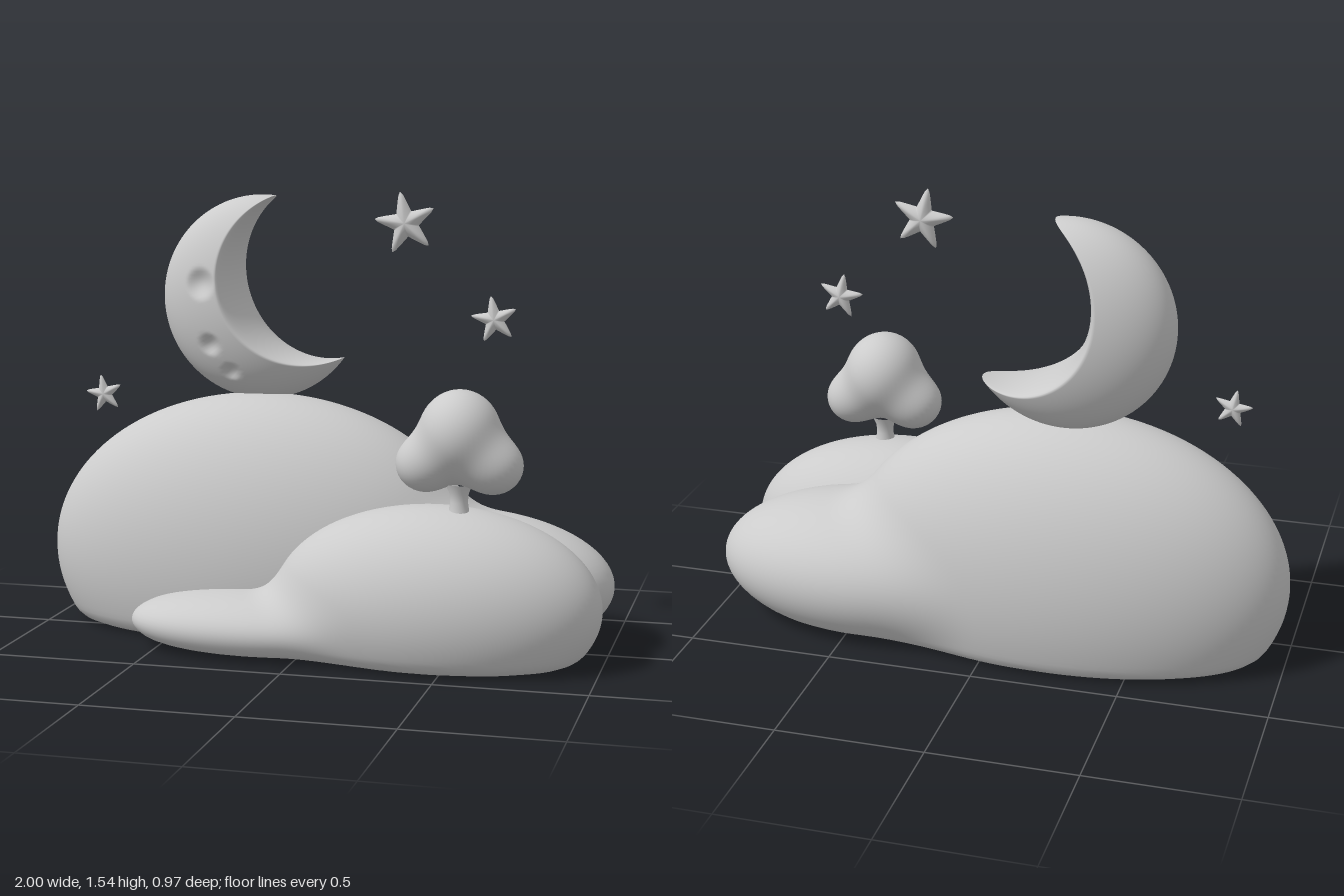
import * as THREE from 'three';
import { mergeVertices } from 'three/addons/utils/BufferGeometryUtils.js';

const material = new THREE.MeshStandardMaterial({ color: 0xcccccc });

// Weld seams and rebuild smooth normals
function smooth(geometry) {
  geometry.deleteAttribute('uv');
  geometry.deleteAttribute('normal');
  const welded = mergeVertices(geometry, 1e-5);
  welded.computeVertexNormals();
  return welded;
}

function addMesh(group, name, geometry) {
  const mesh = new THREE.Mesh(geometry, material);
  mesh.name = name;
  group.add(mesh);
  return mesh;
}

// Approximate signed distance to an ellipsoid
function ellipsoid([x, y, z], { c, r }) {
  const q = [(x - c[0]) / r[0], (y - c[1]) / r[1], (z - c[2]) / r[2]];
  const k0 = Math.hypot(...q);
  const k1 = Math.hypot(q[0] / r[0], q[1] / r[1], q[2] / r[2]);
  return k1 < 1e-6 ? -Math.min(...r) : (k0 * (k0 - 1)) / k1;
}

function smoothMin(a, b, k) {
  const h = Math.max(k - Math.abs(a - b), 0) / k;
  return Math.min(a, b) - h * h * k * 0.25;
}

// Ellipsoids melted together, found along rays from an inner point;
// an optional flat floor at y = 0 has a softened rim
function blob({ centre, stretch, lumps, blend, floor, segments, rings }) {
  const geometry = new THREE.SphereGeometry(1, segments, rings);
  const pos = geometry.attributes.position;
  const field = (p) => {
    let f = lumps.map((l) => ellipsoid(p, l)).reduce((a, b) => smoothMin(a, b, blend));
    if (floor) f = -smoothMin(-f, p[1], 0.05);
    return f;
  };
  for (let i = 0; i < pos.count; i++) {
    const d = [pos.getX(i) * stretch[0], pos.getY(i) * stretch[1], pos.getZ(i) * stretch[2]];
    const at = (t) => d.map((v, j) => centre[j] + v * t);
    let lo = 0, hi = 4;
    for (let n = 0; n < 32; n++) {
      const mid = (lo + hi) / 2;
      if (field(at(mid)) < 0) lo = mid; else hi = mid;
    }
    pos.setXYZ(i, ...at(lo));
  }
  return smooth(geometry);
}

// Crescent: a flattened ball with a round bite, lofted from horn to horn
function crescent() {
  const outer = { x: -0.247, y: 1.161, r: 0.356 };
  const inner = { x: -0.032, y: 1.255, r: 0.309 };
  const depth = 0.197, zMid = -0.178, steps = 150, loop = 100, rim = 0.12;
  const craters = [[-0.425, 1.215, 0.058, 0.026], [-0.395, 1.005, 0.042, 0.02], [-0.325, 0.912, 0.034, 0.016]];

  // Horn tips: where the two circles cross
  const dx = inner.x - outer.x, dy = inner.y - outer.y, d = Math.hypot(dx, dy);
  const a = (d * d + outer.r ** 2 - inner.r ** 2) / (2 * d);
  const axis = Math.atan2(dy, dx);
  const outerHalf = Math.acos(a / outer.r);
  const innerHalf = Math.acos((a - d) / inner.r);
  const onCircle = (c, half, s) => {
    const angle = axis + half + s * 2 * (Math.PI - half);
    return [c.x + c.r * Math.cos(angle), c.y + c.r * Math.sin(angle)];
  };

  const points = [], index = [];
  for (let i = 0; i <= steps; i++) {
    const s = (1 - Math.cos((i / steps) * Math.PI)) / 2;
    const from = onCircle(inner, innerHalf, s);
    const to = onCircle(outer, outerHalf, s);
    for (let j = 0; j < loop; j++) {
      const theta = (j / loop) * 2 * Math.PI;
      const u = (1 - Math.cos(theta)) / 2;
      const x = from[0] + (to[0] - from[0]) * u;
      const y = from[1] + (to[1] - from[1]) * u;
      const rr = ((x - outer.x) ** 2 + (y - outer.y) ** 2) / outer.r ** 2;
      let z = depth * Math.max(0, 1 - rr) ** 0.48;
      if (u < rim) z *= Math.sqrt(1 - (1 - u / rim) ** 2);
      if (theta > Math.PI) z = -z;
      else for (const [cx, cy, r, deep] of craters) {
        const q = ((x - cx) ** 2 + (y - cy) ** 2) / (r * r);
        if (q < 1) z -= deep * (1 - q) ** 1.5;
      }
      points.push(x, y, zMid + z);
      if (i < steps) {
        const p = i * loop + j, q = i * loop + ((j + 1) % loop);
        index.push(p, q, p + loop, q, q + loop, p + loop);
      }
    }
  }
  const geometry = new THREE.BufferGeometry();
  geometry.setAttribute('position', new THREE.Float32BufferAttribute(points, 3));
  geometry.setIndex(index);
  return smooth(geometry);
}

// Puffy five-pointed star with rounded tips, facing z
function starGeometry(radius, thickness) {
  const geometry = new THREE.SphereGeometry(1, 80, 20).rotateX(Math.PI / 2);
  const pos = geometry.attributes.position;
  const fifth = (2 * Math.PI) / 5, round = 0.06;
  for (let i = 0; i < pos.count; i++) {
    const x = pos.getX(i), y = pos.getY(i), z = pos.getZ(i);
    const turn = Math.atan2(y, x) - Math.PI / 2;
    const off = turn - Math.round(turn / fifth) * fifth;
    const edge = Math.sqrt(Math.sin(off) ** 2 + round * round) - round;
    const reach = radius / (Math.cos(off) + 3 * edge);
    pos.setXYZ(i, x * reach, y * reach, Math.sign(z) * thickness * Math.abs(z) ** 1.5);
  }
  return smooth(geometry);
}

export function createModel() {
  const model = new THREE.Group();
  model.name = 'nightLandscape';

  // Hills
  addMesh(model, 'backHill', blob({
    centre: [0, 0.15, -0.13], stretch: [1, 0.6, 0.4], blend: 0.1, floor: true, segments: 128, rings: 90,
    lumps: [
      { c: [-0.23, 0.27, -0.127], r: [0.77, 0.56, 0.357] },
      { c: [0.45, 0.2, -0.14], r: [0.55, 0.25, 0.33] },
    ],
  }));
  addMesh(model, 'frontHill', blob({
    centre: [0.1, 0.09, 0.2], stretch: [0.8, 0.4, 0.35], blend: 0.1, floor: true, segments: 128, rings: 90,
    lumps: [
      { c: [0.45, 0.19, 0.19], r: [0.55, 0.33, 0.293] },
      { c: [-0.15, 0.09, 0.215], r: [0.45, 0.12, 0.225] },
    ],
  }));

  // Moon
  addMesh(model, 'moon', crescent());

  // Tree
  const tree = new THREE.Group();
  tree.name = 'tree';
  tree.position.set(0.53, 0, 0.22);
  model.add(tree);
  const trunk = [[0.04, 0.48], [0.034, 0.51], [0.029, 0.54], [0.032, 0.57], [0.045, 0.6]];
  addMesh(tree, 'trunk', new THREE.LatheGeometry(trunk.map((p) => new THREE.Vector2(...p)), 24));
  addMesh(tree, 'crown', blob({
    centre: [0, 0.71, 0], stretch: [0.2, 0.17, 0.15], blend: 0.07, floor: false, segments: 64, rings: 40,
    lumps: [
      { c: [0, 0.765, 0], r: [0.135, 0.145, 0.15] },
      { c: [-0.11, 0.665, 0], r: [0.1, 0.095, 0.105] },
      { c: [0.11, 0.665, 0], r: [0.1, 0.095, 0.105] },
    ],
  }));

  // Stars: x, y, z, radius, half thickness, tilt
  const stars = [
    [0.29, 1.43, -0.042, 0.108, 0.026, 0.19],
    [0.603, 1.118, 0.004, 0.08, 0.02, 0.17],
    [-0.757, 0.832, 0.048, 0.067, 0.016, 0.19],
  ];
  stars.forEach(([x, y, z, radius, thickness, tilt], i) => {
    const star = addMesh(model, `star${i + 1}`, starGeometry(radius, thickness));
    star.position.set(x, y, z);
    star.rotation.z = tilt;
  });
  return model;
}
